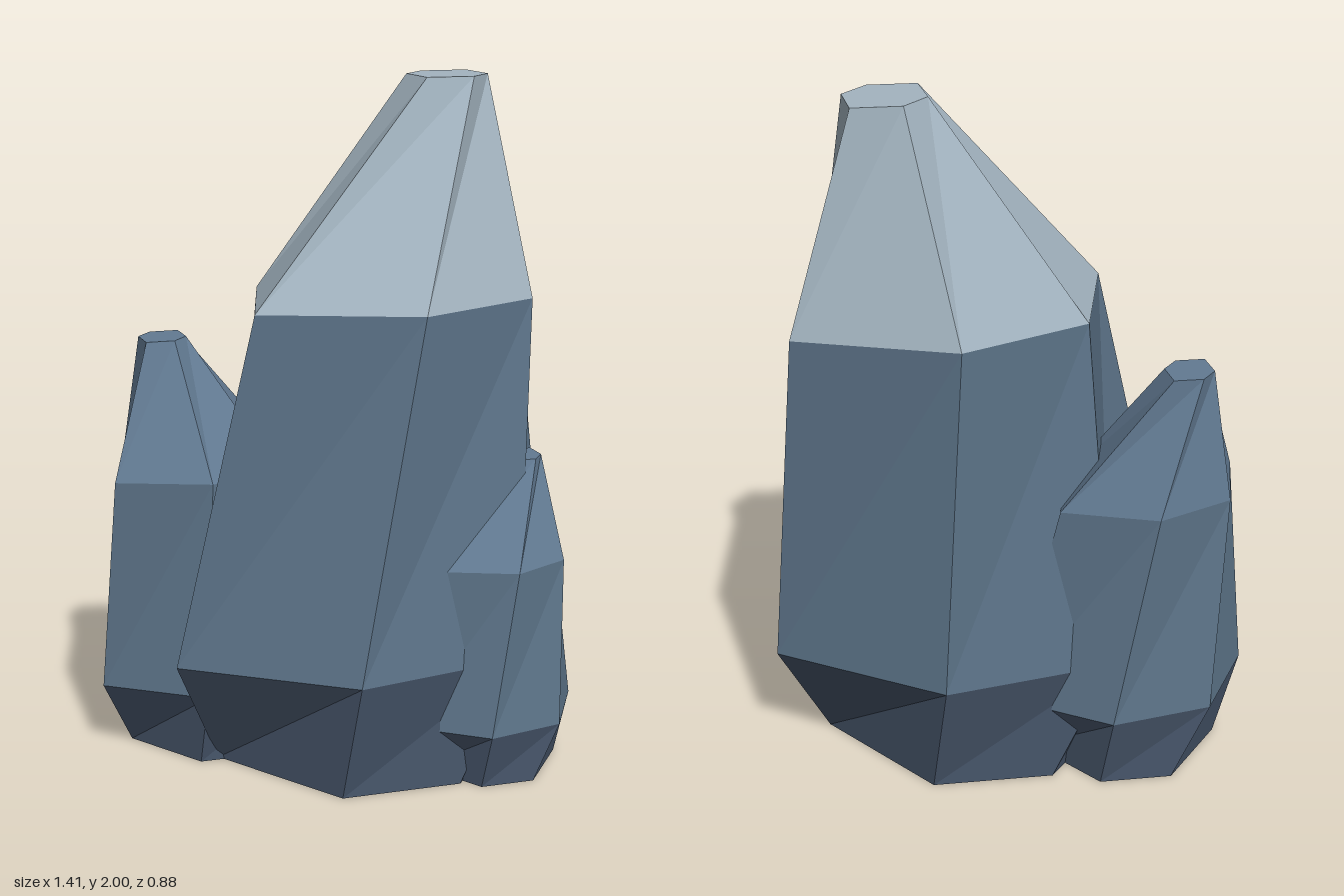
import * as THREE from 'three';

const material = (name, color) => {
  const m = new THREE.MeshStandardMaterial({ color, flatShading: true });
  m.name = name;
  return m;
};

// Shared crystal profile: ring heights, and the left, front-left and front-right [x, z] corners
// of each ring; the other three corners are their opposites
const heights = [0, 0.345, 1.38, 2];
const halfRings = [
  [[-0.47, 0.005], [-0.185, 0.37], [0.17, 0.37]],
  [[-0.615, 0.125], [-0.145, 0.42], [0.355, 0.325]],
  [[-0.46, 0.21], [-0.012, 0.363], [0.36, 0.193]],
  [[-0.1, 0.12], [0.04, 0.12], [0.113, 0.03]],
];

// Scale of the profile and the leaning [x, z] centre line of each crystal
const crystals = [
  {
    name: 'mainCrystal', tip: 'pale', scale: [1, 1, 1],
    centres: [[0.08, 0], [0.085, -0.01], [0.16, -0.04], [0.335, -0.09]],
  },
  {
    name: 'backLeftSideCrystal', tip: 'blue', scale: [0.6, 0.62, 0.6],
    centres: [[-0.335, -0.2], [-0.34, -0.2], [-0.385, -0.207], [-0.48, -0.265]],
  },
  {
    name: 'frontSideCrystal', tip: 'blue', scale: [0.45, 0.46, 0.48],
    centres: [[0.385, 0.23], [0.388, 0.23], [0.417, 0.212], [0.5, 0.16]],
  },
];

// Six corners of one ring of a crystal
function ring({ scale: [sx, sy, sz], centres }, level) {
  const [cx, cz] = centres[level];
  return [1, -1].flatMap((side) => halfRings[level].map(
    ([x, z]) => [cx + side * x * sx, heights[level] * sy, cz + side * z * sz],
  ));
}

// Band of six faces between two rings, with an optional cap
function band(lower, upper, cap) {
  const p = [];
  for (let i = 0; i < 6; i++) {
    const j = (i + 1) % 6;
    p.push(...lower[i], ...lower[j], ...upper[j], ...lower[i], ...upper[j], ...upper[i]);
  }
  for (let i = 1; i < 5; i++) {
    if (cap === 'top') p.push(...upper[0], ...upper[i], ...upper[i + 1]);
    if (cap === 'bottom') p.push(...lower[0], ...lower[i + 1], ...lower[i]);
  }
  const g = new THREE.BufferGeometry();
  g.setAttribute('position', new THREE.Float32BufferAttribute(p, 3));
  g.computeVertexNormals();
  return g;
}

export function createModel() {
  const mats = {
    base: material('dark slate', 0x445266),
    body: material('slate blue', 0x5c7388),
    blue: material('light slate blue', 0x627a92),
    pale: material('pale blue grey', 0xa3b4c0),
  };
  const model = new THREE.Group();
  model.name = 'crystalCluster';

  for (const crystal of crystals) {
    const group = new THREE.Group();
    group.name = crystal.name;
    // Foot, shaft and blunt tip
    [['foot', mats.base, 'bottom'], ['shaft', mats.body, 'none'], ['tip', mats[crystal.tip], 'top']]
      .forEach(([part, mat, cap], i) => {
        const mesh = new THREE.Mesh(band(ring(crystal, i), ring(crystal, i + 1), cap), mat);
        mesh.name = part;
        group.add(mesh);
      });
    model.add(group);
  }
  return model;
}
